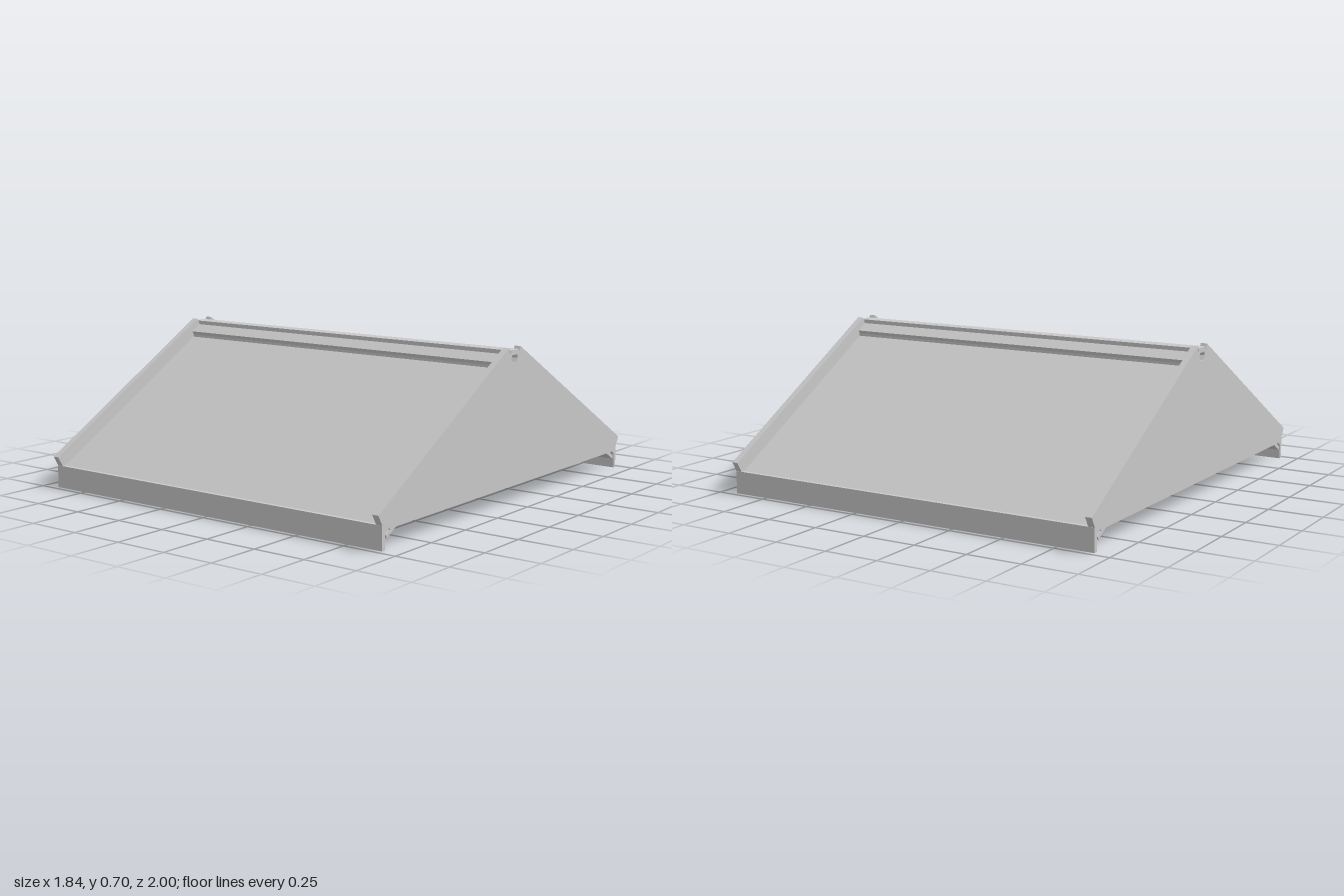
import * as THREE from 'three';

export function createModel() {
  const group = new THREE.Group();
  group.name = 'gableRoof';
  const grey = new THREE.MeshStandardMaterial({ color: 0xc8c8c8 });
  grey.name = 'grey';

  const HALF = 0.92; // half the overall width
  const INNER = 0.89; // inner face of the raised rake
  const LINER = 0.865; // inner face of the gable wall below the roof slab

  // Extrudes a [z, y] outline along x, from x0 to x1.
  function addProfile(name, points, x0, x1, hole) {
    const toVec = ([z, y]) => new THREE.Vector2(z, y);
    const shape = new THREE.Shape(points.map(toVec));
    if (hole) shape.holes.push(new THREE.Path(hole.map(toVec)));
    const geometry = new THREE.ExtrudeGeometry(shape, { depth: x1 - x0, bevelEnabled: false });
    geometry.rotateY(-Math.PI / 2);
    geometry.translate(x1, 0, 0);
    const mesh = new THREE.Mesh(geometry, grey);
    mesh.name = name;
    group.add(mesh);
  }

  // Completes a half outline with its mirror image across z = 0.
  const mirrored = (half) => [...half, ...half.map(([z, y]) => [-z, y]).reverse()];

  // Eaves hook shared by the gables and the roof slab
  const hook = [[0.943, 0.046], [0.951, 0.06], [0.922, 0.076], [0.928, 0.086], [0.957, 0.07]];
  // Channel running through the whole ridge
  const channel = mirrored([[0.011, 0.628], [0.026, 0.648], [0.022, 0.664]]);

  // Gable plates: raised rake and ridge notch, thicker below the roof slab
  const gable = mirrored([[0.88, 0.082], ...hook, [0.975, 0.104], [1, 0.148], [0.049, 0.697], [0.04, 0.681], [0.035, 0.668]]);
  const liner = [[-0.88, 0.082], [0.88, 0.082], [0, 0.59]];
  addProfile('leftGable', gable, INNER, HALF, channel);
  addProfile('rightGable', gable, -HALF, -INNER, channel);
  addProfile('leftGableLiner', liner, LINER, INNER);
  addProfile('rightGableLiner', liner, -INNER, -LINER);

  // Thick roof slab with a stepped ridge cap and hooked eaves
  const slab = [...hook, [0.957, 0.103], [0.0795, 0.61], [0.0795, 0.622], [0.0875, 0.637], [0.035, 0.668]];
  addProfile('roofSlab', [[0, 0.59], ...mirrored(slab)], -INNER, INNER, channel);

  // Ridge strip running through both gables
  addProfile('ridgeStrip', [[-0.035, 0.668], [0.035, 0.668], [0.035, 0.686], [-0.035, 0.686]], -HALF, HALF);

  // Fascia boards across the full width
  for (const [name, z] of [['frontFascia', 0.957], ['backFascia', -0.976]]) {
    addProfile(name, [[z, 0], [z + 0.019, 0], [z + 0.019, 0.103], [z, 0.103]], -HALF, HALF);
  }
  return group;
}
